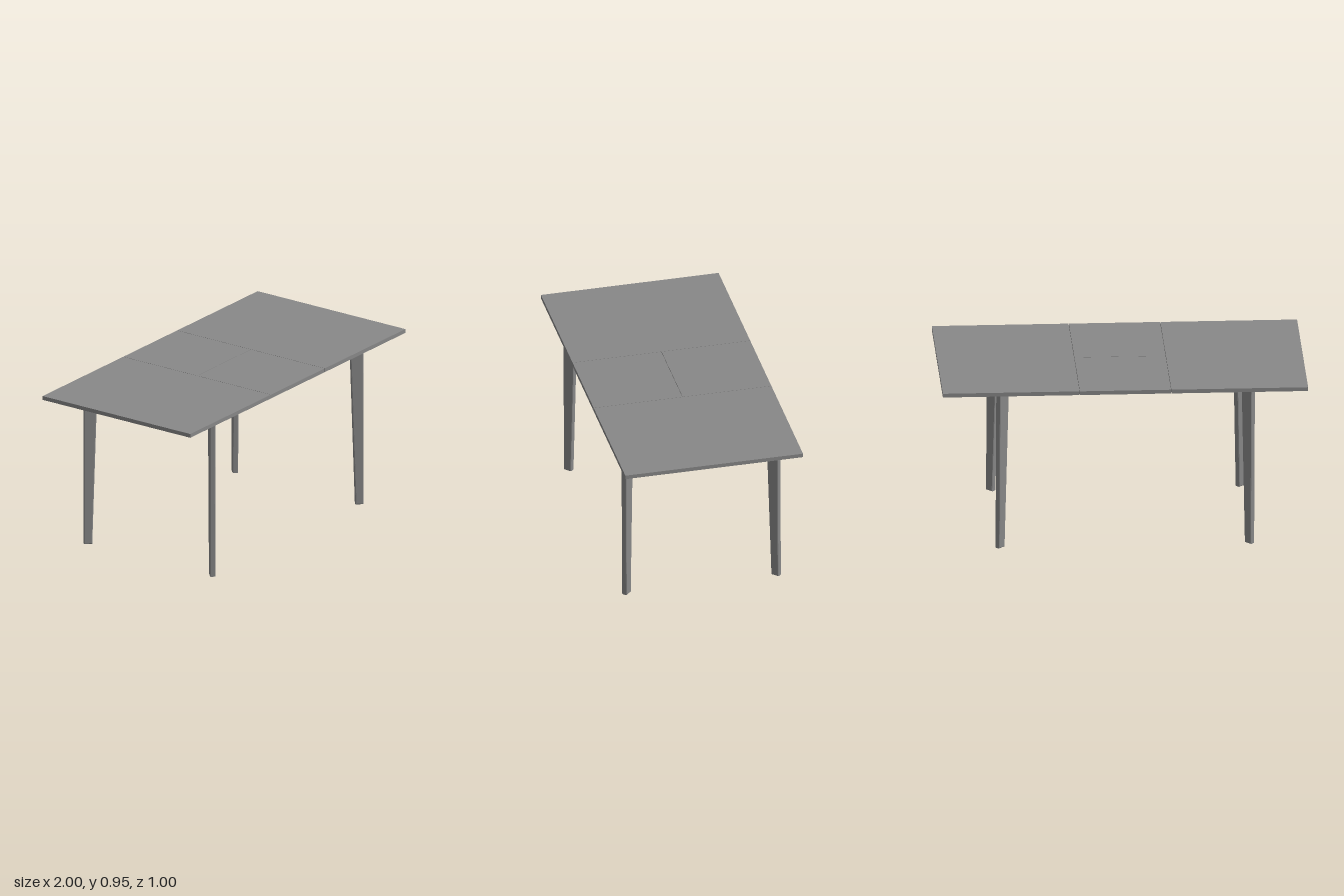
import * as THREE from 'three';

const HALF_LENGTH = 0.998, HALF_DEPTH = 0.498;
const TOP_Y = 0.937, THICKNESS = 0.022, SEAM_X = 0.25, GAP = 0.002;
const LEG_THICKNESS = 0.032, BEVEL = 0.006;

export function createModel() {
  const table = new THREE.Group();
  table.name = 'extendingTable';
  const material = new THREE.MeshStandardMaterial({ color: 0x888888 });

  // Flat board covering the given x and z ranges
  const addBoard = (name, x0, x1, z0, z1) => {
    const board = new THREE.Mesh(new THREE.BoxGeometry(x1 - x0, THICKNESS, z1 - z0), material);
    board.position.set((x0 + x1) / 2, TOP_Y - THICKNESS / 2, (z0 + z1) / 2);
    board.name = name;
    table.add(board);
  };

  // Two end boards with a split leaf between them
  const g = GAP / 2;
  addBoard('rightTopPanel', -HALF_LENGTH, -SEAM_X - g, -HALF_DEPTH, HALF_DEPTH);
  addBoard('leftTopPanel', SEAM_X + g, HALF_LENGTH, -HALF_DEPTH, HALF_DEPTH);
  addBoard('frontLeaf', -SEAM_X + g, SEAM_X - g, g, HALF_DEPTH);
  addBoard('backLeaf', -SEAM_X + g, SEAM_X - g, -HALF_DEPTH, -g);

  // Tapered plank leg: upright outer edge at x = 0, sloping inner edge
  const legHeight = TOP_Y - THICKNESS;
  const outline = new THREE.Shape([
    new THREE.Vector2(-0.046, 0),
    new THREE.Vector2(0, 0),
    new THREE.Vector2(0, legHeight),
    new THREE.Vector2(-0.075, legHeight),
  ]);
  const legGeometry = new THREE.ExtrudeGeometry(outline, {
    depth: LEG_THICKNESS - 2 * BEVEL,
    bevelThickness: BEVEL,
    bevelSize: BEVEL,
    bevelOffset: -BEVEL,
    bevelSegments: 3,
  });
  legGeometry.translate(0, 0, BEVEL - LEG_THICKNESS / 2);

  // Legs turned diagonally outward at the four corners
  for (const sx of [-1, 1]) {
    for (const sz of [-1, 1]) {
      const leg = new THREE.Mesh(legGeometry, material);
      leg.position.set(sx * 0.698 - 0.005, 0, sz * 0.436);
      leg.rotation.y = Math.atan2(-sz, sx);
      leg.name = (sz > 0 ? 'front' : 'back') + (sx > 0 ? 'Left' : 'Right') + 'Leg';
      table.add(leg);
    }
  }

  // The table leans very slightly
  table.rotation.set(0.003, -0.0025, 0.005);
  table.position.set(0.0045, 0.005, -0.003);

  const model = new THREE.Group();
  model.name = 'table';
  model.add(table);
  return model;
}
